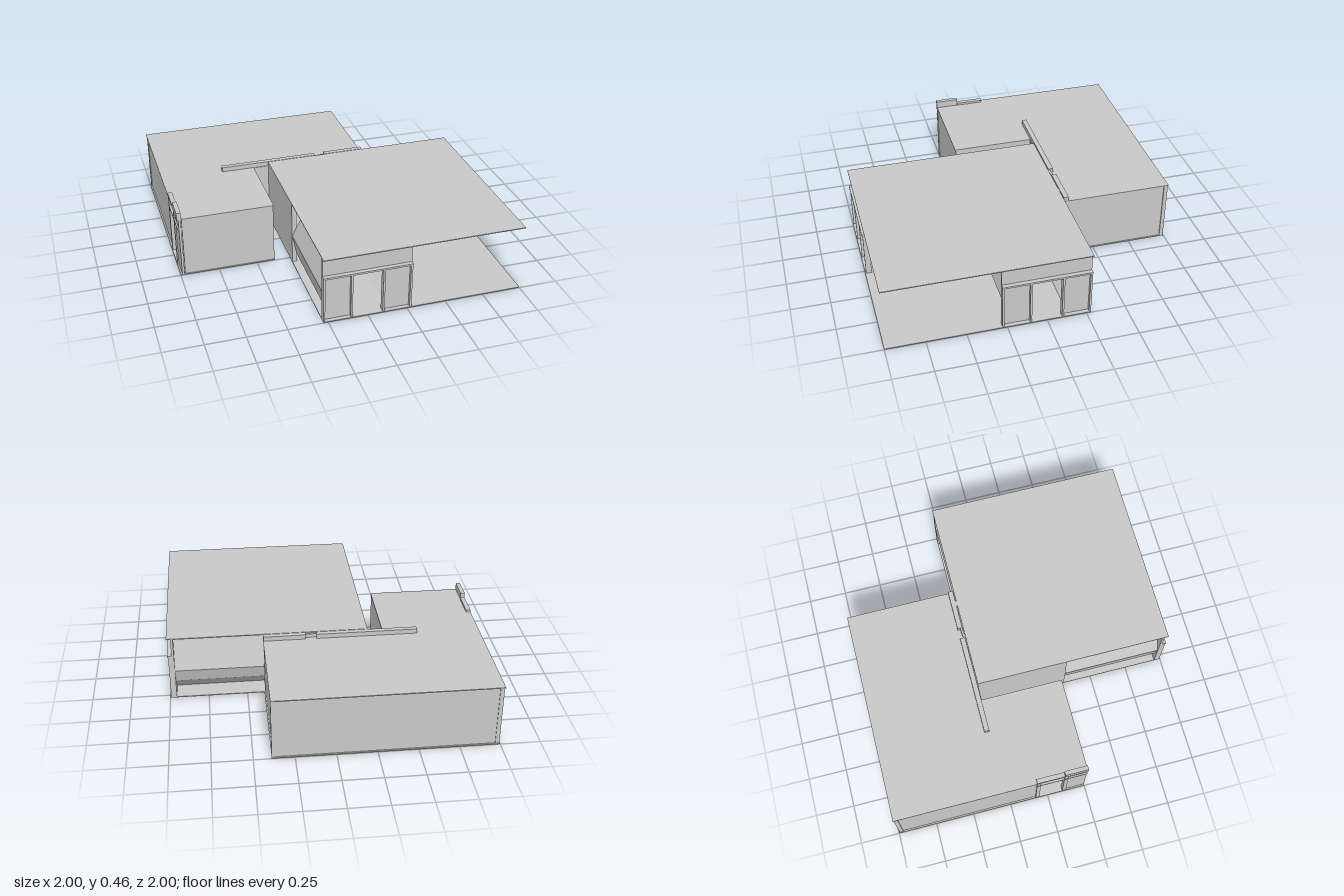
import * as THREE from 'three';

const grey = new THREE.MeshStandardMaterial({ color: 0xc8c8c8, side: THREE.DoubleSide });
grey.name = 'plain grey';

export function createModel() {
  const model = new THREE.Group();
  model.name = 'corridorModules';

  const add = (name, geo, parent = model) => {
    const m = new THREE.Mesh(geo, grey);
    m.name = name;
    parent.add(m);
    return m;
  };
  // Box given by its minimum and maximum on each axis
  const box = (name, x0, x1, y0, y1, z0, z1, parent) => {
    const m = add(name, new THREE.BoxGeometry(x1 - x0, y1 - y0, z1 - z0), parent);
    m.position.set((x0 + x1) / 2, (y0 + y1) / 2, (z0 + z1) / 2);
    return m;
  };
  const shapeOf = (pts) => new THREE.Shape(pts.map(([x, y]) => new THREE.Vector2(x, y)));
  const panel = (name, outline, hole, depth, parent) => {
    const s = shapeOf(outline);
    if (hole) s.holes.push(new THREE.Path(hole.map(([x, y]) => new THREE.Vector2(x, y))));
    return add(name, new THREE.ExtrudeGeometry(s, { depth, bevelEnabled: false }), parent);
  };

  // Tall module: square floor and roof plates
  box('tallFloor', -0.28, 1, 0, 0.006, -0.28, 1);
  box('tallRoof', -0.28, 1, 0.434, 0.44, -0.28, 1);

  // Two corridor arms with bulging side walls, and a door wall at each end
  const corridor = (name, low, high, turn) => {
    const arm = new THREE.Group();
    arm.name = name;
    const t = 0.008;
    for (const side of [-1, 1]) {
      const profile = [[0.14, 0.004], [0.25, low], [0.278, 0.2], [0.215, high], [0.205, 0.436]];
      const outer = profile.map(([d, y]) => [d * side, y]);
      const inner = profile.map(([d, y]) => [(d - t) * side, y]).reverse();
      const wall = panel('bulgingWall', [...outer, ...inner], null, 0.655, arm);
      wall.position.z = 0.31;
    }
    // Wall with a doorway
    const end = panel('doorWall',
      [[-0.28, 0], [-0.095, 0], [-0.095, 0.315], [0.095, 0.315], [0.095, 0],
        [0.28, 0], [0.28, 0.438], [-0.28, 0.438]], null, 0.015, arm);
    end.position.z = 0.958;
    // Frame around the doorway
    box('doorLintel', -0.28, 0.28, 0.303, 0.315, 0.965, 1, arm);
    for (const x of [-0.28, -0.107, 0.095, 0.268]) {
      box('doorPost', x, x + 0.012, 0, 0.303, 0.965, 0.995, arm);
    }
    // Frame where the arm meets the corner room
    for (const side of [-1, 1]) {
      const x = side < 0 ? -0.28 : 0.275;
      box('archPost', x, x + (side < 0 ? 0.03 : 0.035), 0, 0.436, 0.28, 0.312, arm);
    }
    box('archBeam', -0.28, 0.28, 0.41, 0.436, 0.28, 0.31, arm);
    arm.rotation.y = turn;
    model.add(arm);
  };
  corridor('frontCorridor', 0.06, 0.335, 0);
  corridor('sideCorridor', 0.11, 0.385, Math.PI / 2);

  // Flat wall of the corner room
  box('cornerRoomWall', -0.28, -0.265, 0, 0.438, -0.28, 0.28);

  // Low module: floor and roof share an L-shaped outline
  const ell = [[-1, 1], [0.39, 1], [0.39, 0.28], [-0.38, 0.28], [-0.38, -0.25], [-1, -0.25]];
  for (const [name, y] of [['lowFloor', 0], ['lowRoof', 0.404]]) {
    const plate = panel(name, ell, null, 0.006);
    plate.rotation.x = -Math.PI / 2;
    plate.position.y = y;
  }

  // Low module walls
  box('backWall', -0.985, 0.375, 0, 0.408, -0.99, -0.975);
  box('endWall', 0.37, 0.383, 0, 0.408, -0.97, -0.3);
  box('leftFrontWall', -0.97, -0.385, 0, 0.408, 0.23, 0.245);
  box('gapWall', -0.395, -0.382, 0, 0.408, -0.29, 0.24);
  box('longSideWall', -0.99, -0.975, 0, 0.408, -0.97, -0.08);
  for (const [x, z] of [[-0.995, -0.995], [0.365, -0.995], [0.362, -0.31]]) {
    box('cornerPost', x, x + 0.025, 0, 0.408, z, z + 0.025);
  }

  // Wall shared by the modules, with a broken opening
  const shared = panel('brokenWall',
    [[-0.39, 0], [0.385, 0], [0.385, 0.408], [-0.39, 0.408]],
    [[-0.07, 0.012], [-0.065, 0.1], [-0.04, 0.17], [-0.03, 0.24], [0, 0.29],
      [0.09, 0.305], [0.15, 0.26], [0.17, 0.12], [0.14, 0.012]], 0.015);
  shared.position.z = -0.3;

  // Beam along the joint, snapped near its middle
  box('jointBeam', -0.595, 0.05, 0.405, 0.44, -0.317, -0.285);
  box('jointBeam', 0.12, 0.388, 0.405, 0.44, -0.317, -0.285);
  const snapped = box('snappedBeam', 0.05, 0.12, 0.405, 0.434, -0.297, -0.283);
  snapped.rotation.y = 0.08;

  // Side doorway of the low module with raised frame plates
  box('sideDoorPost', -0.998, -0.97, 0, 0.425, -0.08, -0.055);
  box('sideDoorPost', -0.998, -0.97, 0, 0.408, 0.1, 0.125);
  box('sideDoorWall', -0.99, -0.975, 0, 0.408, 0.12, 0.25);
  box('sideDoorHeader', -0.985, -0.972, 0.33, 0.408, -0.06, 0.12);
  box('sideDoorLintel', -1, -0.97, 0.335, 0.347, -0.08, 0.25);
  box('raisedPlate', -1, -0.97, 0.41, 0.425, -0.08, 0.1);
  box('raisedPlate', -1, -0.972, 0.41, 0.455, 0.1, 0.25);

  // Rubble under the broken opening
  const rubble = [[-0.07, -0.23, 0.03], [-0.03, -0.25, 0.025], [0.01, -0.22, 0.03],
    [0.05, -0.25, 0.035], [-0.05, -0.08, 0.02], [0.07, -0.21, 0.025]];
  rubble.forEach(([x, z, s], i) => {
    const r = add('rubble', new THREE.TetrahedronGeometry(s));
    r.position.set(x, s * 0.6, z);
    r.rotation.y = i * 1.1;
  });

  return model;
}
